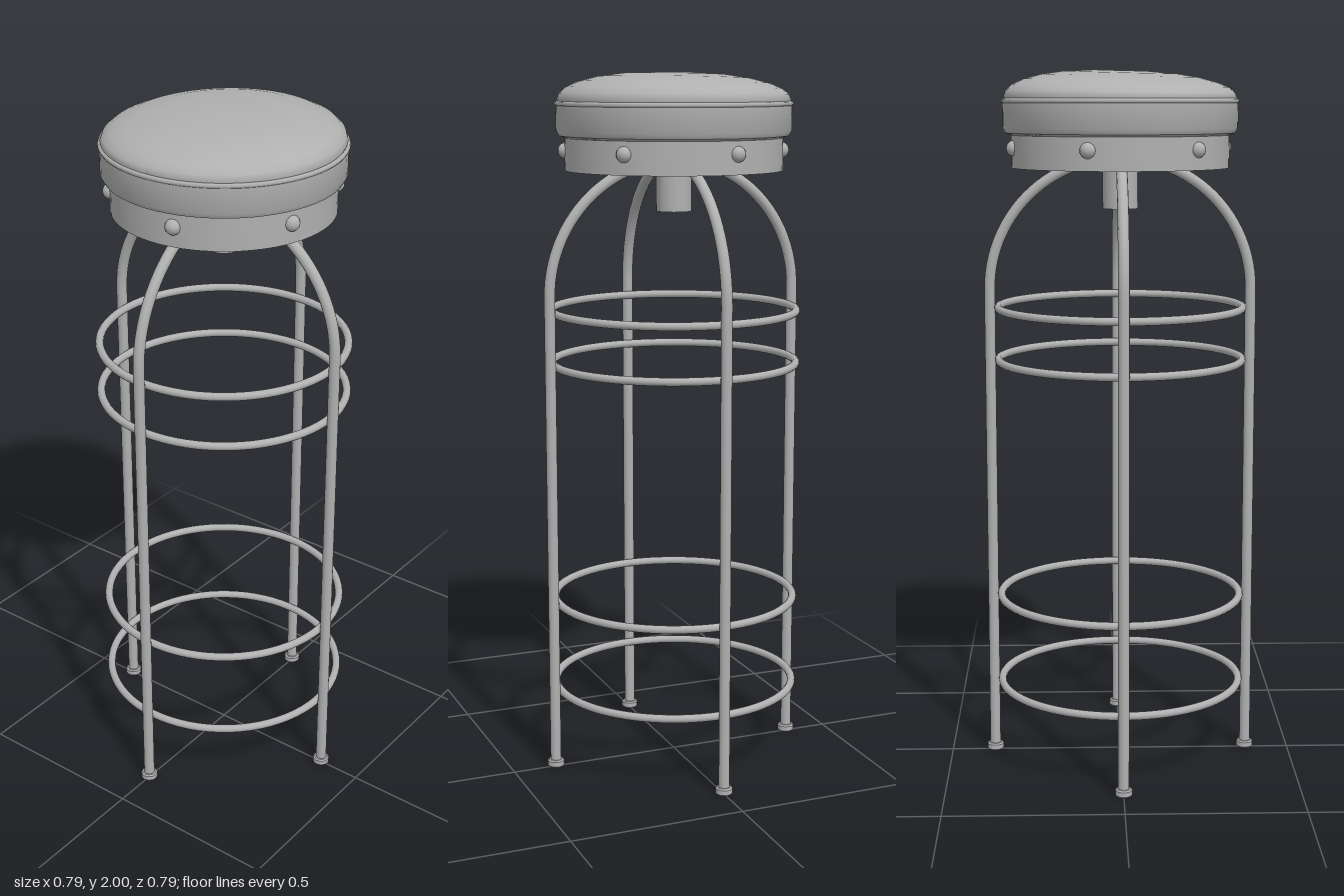
import * as THREE from 'three';
import { toCreasedNormals } from 'three/addons/utils/BufferGeometryUtils.js';

export function createModel() {
  const stool = new THREE.Group();
  stool.name = 'barStool';
  const grey = new THREE.MeshStandardMaterial({ color: 0xb0b0b0 });
  grey.name = 'plainGrey';

  const add = (name, geometry, parent = stool) => {
    const mesh = new THREE.Mesh(geometry, grey);
    mesh.name = name;
    parent.add(mesh);
    return mesh;
  };
  const lathe = (profile, segments = 64) => toCreasedNormals(
    new THREE.LatheGeometry(profile.map(([r, y]) => new THREE.Vector2(r, y)), segments), 0.6);

  // Upholstered cushion: side band, then a domed top that leans very slightly
  add('cushionBand', lathe([
    [0, 1.815], [0.305, 1.815], [0.324, 1.822], [0.331, 1.835], [0.331, 1.905], [0.3, 1.912], [0, 1.912],
  ]));
  const dome = new THREE.LatheGeometry([
    [0.322, 1.905], [0.328, 1.92], [0.322, 1.936], [0.304, 1.952], [0.27, 1.967],
    [0.22, 1.98], [0.16, 1.989], [0.08, 1.994], [0, 1.995],
  ].map(([r, y]) => new THREE.Vector2(r, y)), 64);
  const p = dome.attributes.position;
  for (let i = 0; i < p.count; i++) {
    const lift = (p.getY(i) - 1.905) / 0.09;
    p.setY(i, p.getY(i) + lift * 0.025 * (p.getX(i) - p.getZ(i)));
  }
  dome.computeVertexNormals();
  add('cushionTop', dome);

  // Piping around the top edge of the cushion
  const piping = add('cushionPiping', new THREE.TorusGeometry(0.328, 0.007, 8, 64));
  piping.rotation.x = Math.PI / 2;
  piping.position.y = 1.91;

  // Seat skirt, recessed underneath
  add('seatSkirt', lathe([
    [0, 1.8], [0.297, 1.8], [0.297, 1.725], [0.307, 1.725], [0.307, 1.825],
  ]));

  // Six round studs on the skirt
  for (let i = 0; i < 6; i++) {
    const a = THREE.MathUtils.degToRad(12 + i * 60);
    const stud = add('skirtStud', new THREE.SphereGeometry(0.022, 16, 12));
    stud.position.set(Math.sin(a) * 0.304, 1.78, Math.cos(a) * 0.304);
  }

  // Hollow centre post
  add('centrePost', lathe([
    [0.042, 1.8], [0.042, 1.61], [0.05, 1.61], [0.05, 1.8],
  ], 32));

  // Four legs that bend inward to the post, each with a foot
  const R = 0.373, bend = 1.38, k = R * 0.5523;
  const path = new THREE.CurvePath();
  path.add(new THREE.LineCurve3(new THREE.Vector3(R, 0.012, 0), new THREE.Vector3(R, bend, 0)));
  path.add(new THREE.CubicBezierCurve3(
    new THREE.Vector3(R, bend, 0), new THREE.Vector3(R, bend + k, 0),
    new THREE.Vector3(k, bend + R, 0), new THREE.Vector3(0, bend + R, 0)));
  const legGeometry = new THREE.TubeGeometry(path, 80, 0.0155, 14, false);
  const footGeometry = lathe([[0, 0], [0.018, 0], [0.024, 0.005], [0.024, 0.019], [0.02, 0.023], [0, 0.023]], 20);
  for (let i = 0; i < 4; i++) {
    const leg = new THREE.Group();
    leg.name = 'leg';
    leg.rotation.y = i * Math.PI / 2;
    add('legTube', legGeometry, leg);
    add('foot', footGeometry, leg).position.x = R;
    stool.add(leg);
  }

  // Ring braces
  for (const y of [0.225, 0.485, 1.18, 1.33]) {
    const ring = add('ringBrace', new THREE.TorusGeometry(0.349, 0.0115, 12, 72));
    ring.rotation.x = Math.PI / 2;
    ring.position.y = y;
  }
  return stool;
}
